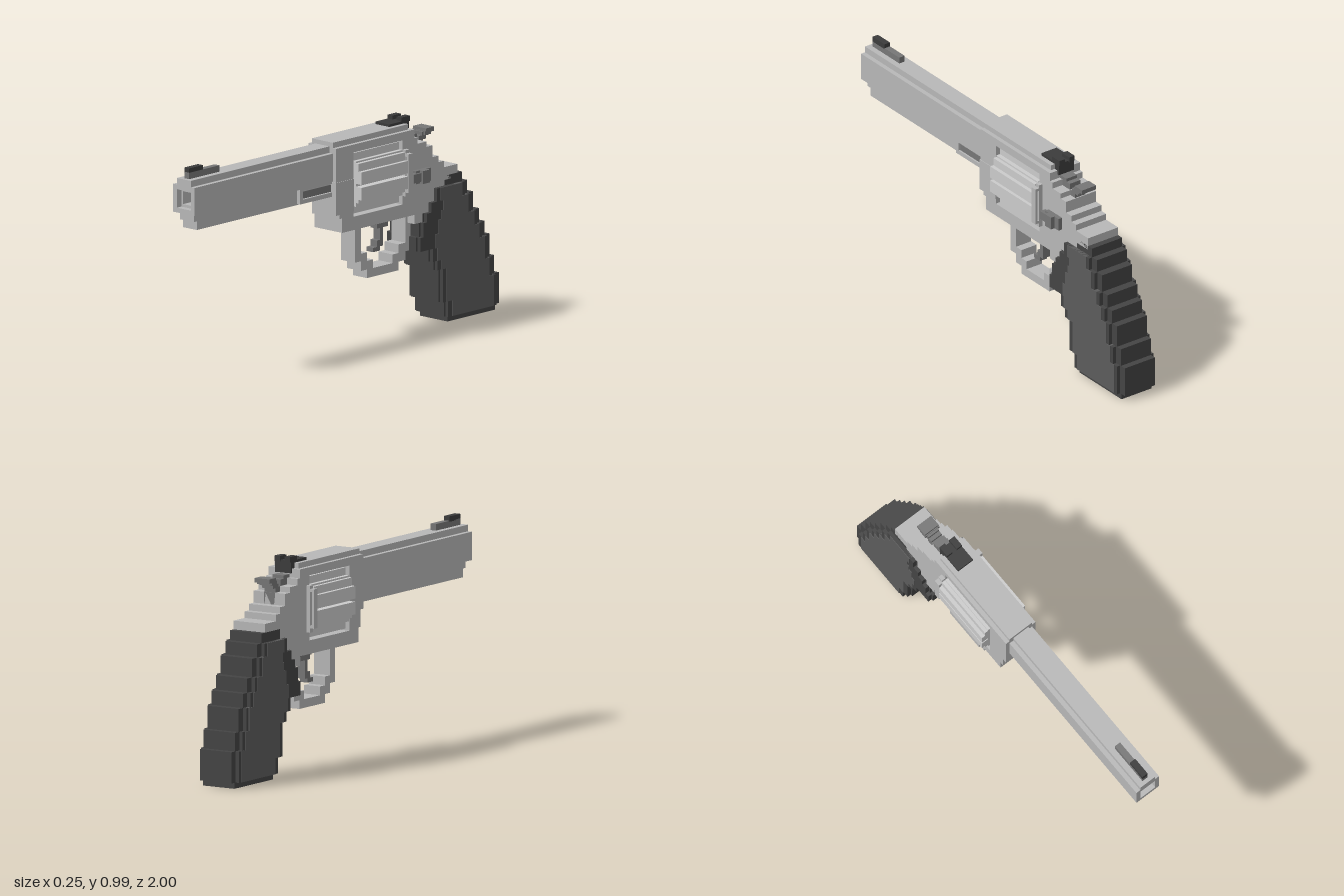
import * as THREE from 'three';

const mat = (color) => new THREE.MeshStandardMaterial({ color, flatShading: true });
const steel = mat(0xb8b8b8), bright = mat(0xcccccc), midGrey = mat(0x777777);
const black = mat(0x3c3c3c), gripDark = mat(0x444444), gripPanel = mat(0x5c5c5c);

export function createModel() {
  const model = new THREE.Group();

  const add = (name, geometry, material) => {
    const mesh = new THREE.Mesh(geometry, material);
    mesh.name = name;
    model.add(mesh);
    return mesh;
  };
  // Box given by its limits on each axis
  const box = (name, x0, x1, y0, y1, z0, z1, material) =>
    add(name, new THREE.BoxGeometry(x1 - x0, y1 - y0, z1 - z0)
      .translate((x0 + x1) / 2, (y0 + y1) / 2, (z0 + z1) / 2), material);
  const toPoints = (list) => list.map(([a, b]) => new THREE.Vector2(a, b));
  // Side outline in (z, y), extruded across x from -half to +half
  const plate = (name, outline, half, material, hole) => {
    const shape = new THREE.Shape(toPoints(outline));
    if (hole) shape.holes.push(new THREE.Path(toPoints(hole)));
    const geometry = new THREE.ExtrudeGeometry(shape, { depth: half * 2, bevelEnabled: false });
    return add(name, geometry.translate(0, 0, -half).rotateY(-Math.PI / 2), material);
  };
  // Turns corner points into a stair-stepped outline: z moves first, then y
  const stairs = (list) => list.flatMap(([z, y], i) => (i ? [[z, list[i - 1][1]], [z, y]] : [[z, y]]));
  const rect = (w, y0, y1) => [[-w, y0], [w, y0], [w, y1], [-w, y1]];
  // Square tube along z
  const tube = (name, outer, inner, z0, z1, material) => {
    const shape = new THREE.Shape(toPoints(outer));
    shape.holes.push(new THREE.Path(toPoints(inner)));
    add(name, new THREE.ExtrudeGeometry(shape, { depth: z1 - z0, bevelEnabled: false })
      .translate(0, 0, z0), material);
  };

  // Barrel with a stepped square bore
  const barrelOutline = [
    [-0.043, 0.775], [0.043, 0.775], [0.065, 0.775], [0.065, 0.905], [0.043, 0.905],
    [0.043, 0.935], [-0.043, 0.935], [-0.043, 0.905], [-0.065, 0.905], [-0.065, 0.775],
  ];
  tube('barrel', barrelOutline, rect(0.043, 0.797, 0.883), 0.07, 1, steel);
  tube('boreLiner', rect(0.043, 0.797, 0.883), rect(0.033, 0.81, 0.87), 0.07, 0.97, steel);
  box('underLugUpper', -0.043, 0.043, 0.74, 0.775, 0.07, 0.98, steel);
  box('underLugLower', -0.043, 0.043, 0.70, 0.74, 0.07, 0.96, steel);

  // Ejector rod and its shroud on the left side
  box('rodShroudTop', 0.04, 0.062, 0.765, 0.775, 0.07, 0.295, steel);
  box('rodShroudBottom', 0.04, 0.062, 0.705, 0.725, 0.07, 0.295, steel);
  box('rodShroudEnd', 0.04, 0.062, 0.725, 0.765, 0.275, 0.295, steel);
  box('ejectorRod', 0.04, 0.056, 0.727, 0.76, 0.07, 0.27, midGrey);

  // Frame with the cylinder window
  const back = stairs([[-0.42, 0.93], [-0.44, 0.89], [-0.46, 0.86], [-0.52, 0.835],
    [-0.56, 0.78], [-0.60, 0.75], [-0.635, 0.72], [-0.725, 0.66]]);
  plate('frame', [
    [0.08, 0.68], [0.08, 0.93], ...back, [-0.64, 0.66], [-0.64, 0.49], [-0.44, 0.49],
    [-0.44, 0.533], [0.04, 0.533], [0.04, 0.60], [0.057, 0.60], [0.057, 0.68],
  ], 0.085, steel, [[-0.035, 0.595], [-0.36, 0.595], [-0.36, 0.893], [-0.035, 0.893]]);
  box('topStrap', -0.065, 0.065, 0.925, 0.955, -0.42, 0.08, steel);
  box('crane', 0.05, 0.088, 0.62, 0.772, -0.036, 0.083, steel);

  // Fluted cylinder
  const cz0 = -0.355, cz1 = -0.045;
  box('cylinderCore', -0.07, 0.07, 0.605, 0.885, cz0, cz1, bright);
  box('cylinderBody', -0.09, 0.09, 0.64, 0.85, cz0, cz1, bright);
  box('cylinderAxle', -0.03, 0.03, 0.70, 0.78, -0.37, -0.03, bright);
  for (const s of [-1, 1]) {
    const side = (name, a, b, ...rest) => box(name, Math.min(s * a, s * b), Math.max(s * a, s * b), ...rest);
    side('chamberUpper', 0.08, 0.107, 0.747, 0.842, cz0, cz1, bright);
    side('chamberLower', 0.08, 0.107, 0.658, 0.733, cz0, cz1, bright);
    side('chamberRidgeUpper', 0.1, 0.125, 0.747, 0.805, cz0, cz1, bright);
    side('chamberRidgeLower', 0.1, 0.125, 0.675, 0.733, cz0, cz1, bright);
    // Recoil shield bracket behind the cylinder
    side('shieldEdge', 0.115, 0.126, 0.655, 0.835, -0.385, -0.355, steel);
    side('shieldTop', 0.08, 0.126, 0.822, 0.835, -0.385, -0.355, steel);
    side('shieldBottom', 0.08, 0.126, 0.655, 0.668, -0.385, -0.355, steel);
    side('shieldWall', 0.08, 0.105, 0.635, 0.85, -0.385, -0.36, steel);
  }

  // Cylinder release latch
  box('latch', 0.08, 0.105, 0.68, 0.74, -0.53, -0.43, midGrey);
  box('latchFront', 0.08, 0.115, 0.69, 0.73, -0.455, -0.405, midGrey);
  box('latchThumbPiece', 0.1, 0.125, 0.68, 0.74, -0.50, -0.455, midGrey);

  // Sights
  box('frontSightBase', -0.015, 0.015, 0.93, 0.965, 0.78, 0.98, midGrey);
  box('frontSightBlade', -0.015, 0.015, 0.96, 0.985, 0.89, 0.98, black);
  box('rearSightBase', -0.043, 0.043, 0.95, 0.967, -0.45, -0.32, black);
  box('rearSightBlock', -0.043, 0.043, 0.91, 0.955, -0.45, -0.40, black);
  for (const x of [-0.043, 0.013]) box('rearSightEar', x, x + 0.03, 0.96, 0.985, -0.455, -0.40, black);

  // Hammer: a stack of steps with a rising spur
  [[0.89, 0.905, -0.49, -0.41], [0.86, 0.89, -0.515, -0.41], [0.83, 0.86, -0.555, -0.44],
    [0.78, 0.835, -0.56, -0.47], [0.855, 0.875, -0.575, -0.53], [0.87, 0.89, -0.595, -0.55],
  ].forEach(([y0, y1, z0, z1]) => box('hammerStep', -0.03, 0.03, y0, y1, z0, z1, midGrey));
  box('hammerSpur', -0.04, 0.04, 0.875, 0.893, -0.6, -0.56, midGrey);
  box('hammerSpurTip', -0.04, 0.04, 0.885, 0.905, -0.62, -0.565, midGrey);

  // Trigger guard
  plate('triggerGuard', [
    [-0.09, 0.54], [-0.09, 0.40], [-0.09, 0.365], [-0.13, 0.365], [-0.13, 0.32], [-0.17, 0.32], [-0.17, 0.28],
    [-0.38, 0.28], [-0.38, 0.32], [-0.425, 0.32], [-0.425, 0.36], [-0.46, 0.36], [-0.46, 0.54],
    [-0.425, 0.54], [-0.425, 0.40], [-0.38, 0.40], [-0.38, 0.36], [-0.34, 0.36], [-0.34, 0.32],
    [-0.21, 0.32], [-0.21, 0.36], [-0.17, 0.36], [-0.17, 0.40], [-0.13, 0.40], [-0.13, 0.54],
  ], 0.043, steel);

  // Trigger
  [[0.51, 0.54, -0.36, -0.245], [0.49, 0.51, -0.335, -0.26], [0.43, 0.49, -0.30, -0.28],
    [0.405, 0.435, -0.30, -0.26], [0.385, 0.405, -0.28, -0.235],
  ].forEach(([y0, y1, z0, z1]) => box('triggerStep', -0.02, 0.02, y0, y1, z0, z1, midGrey));

  // Grip rows: [y0, y1, front z, back z]
  const rows = [
    [0, 0.027, -0.66, -0.975], [0.027, 0.10, -0.635, -1], [0.10, 0.17, -0.60, -1],
    [0.17, 0.255, -0.60, -0.97], [0.255, 0.30, -0.565, -0.94], [0.30, 0.36, -0.535, -0.94],
    [0.36, 0.425, -0.45, -0.905], [0.425, 0.49, -0.47, -0.87], [0.49, 0.53, -0.495, -0.83],
    [0.53, 0.575, -0.525, -0.83], [0.575, 0.635, -0.56, -0.79], [0.635, 0.68, -0.60, -0.755],
  ];
  rows.forEach(([y0, y1, front, rear], i) => {
    box('gripCore', -0.085, 0.085, y0, y1, rear, front, gripDark);
    if (i === 0 || i === rows.length - 1) return;
    box('gripShell', -0.103, 0.103, y0, y1, rear + 0.035, front - 0.01, gripDark);
    const inset = front > -0.56 && y0 > 0.35 ? Math.min(front - 0.045, -0.56 - (y0 - 0.36) * 0.3) : front - 0.035;
    box('gripPanel', -0.106, 0.106, y0, y1, rear + 0.055, inset, gripPanel);
  });

  return model;
}
